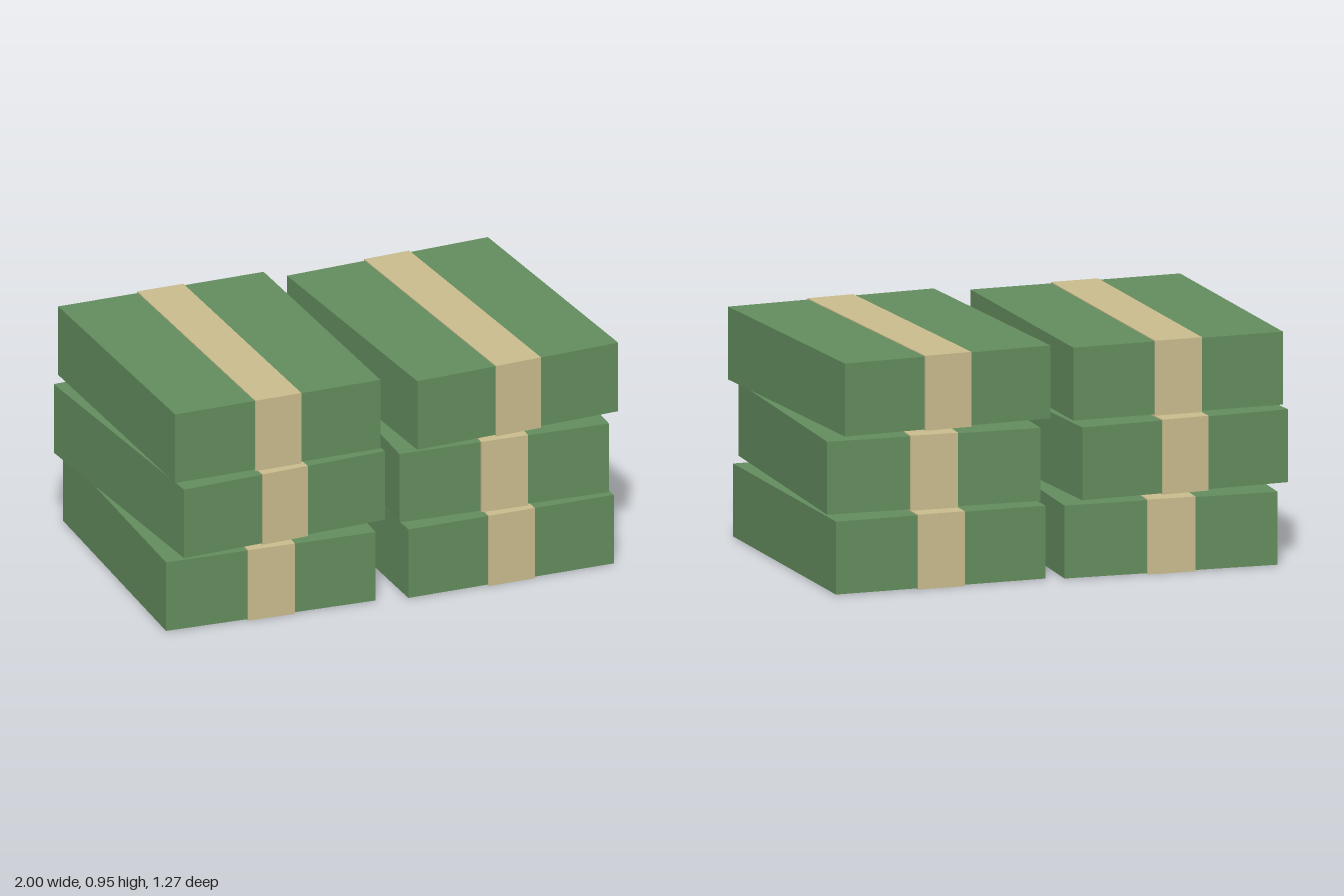
import * as THREE from 'three';

export function createModel() {
  const model = new THREE.Group();
  model.name = 'bundleStack';

  const green = new THREE.MeshStandardMaterial({ color: 0x628c5d });
  green.name = 'paper green';
  const tan = new THREE.MeshStandardMaterial({ color: 0xc8bb8c });
  tan.name = 'band tan';

  const paperGeometry = new THREE.BoxGeometry(0.893, 0.298, 1.19);
  const bandGeometry = new THREE.BoxGeometry(0.2, 0.306, 1.204);

  // One paper block with a band wrapped around its middle
  function addBundle(name, x, y, turn) {
    const bundle = new THREE.Group();
    bundle.name = name;
    const paper = new THREE.Mesh(paperGeometry, green);
    paper.name = 'paperBlock';
    const band = new THREE.Mesh(bandGeometry, tan);
    band.name = 'paperBand';
    bundle.add(paper, band);
    bundle.position.set(x, y, 0);
    bundle.rotation.y = turn;
    model.add(bundle);
  }

  // Two stacks of three, each bundle turned a little: [right, left] per layer
  const turns = [[0, 0.05], [0.1, 0], [0.05, 0.1]];
  turns.forEach(([right, left], i) => {
    const y = 0.153 + i * 0.324;
    addBundle('rightBundle' + (i + 1), -0.497, y, right);
    addBundle('leftBundle' + (i + 1), 0.497, y, left);
  });

  return model;
}
